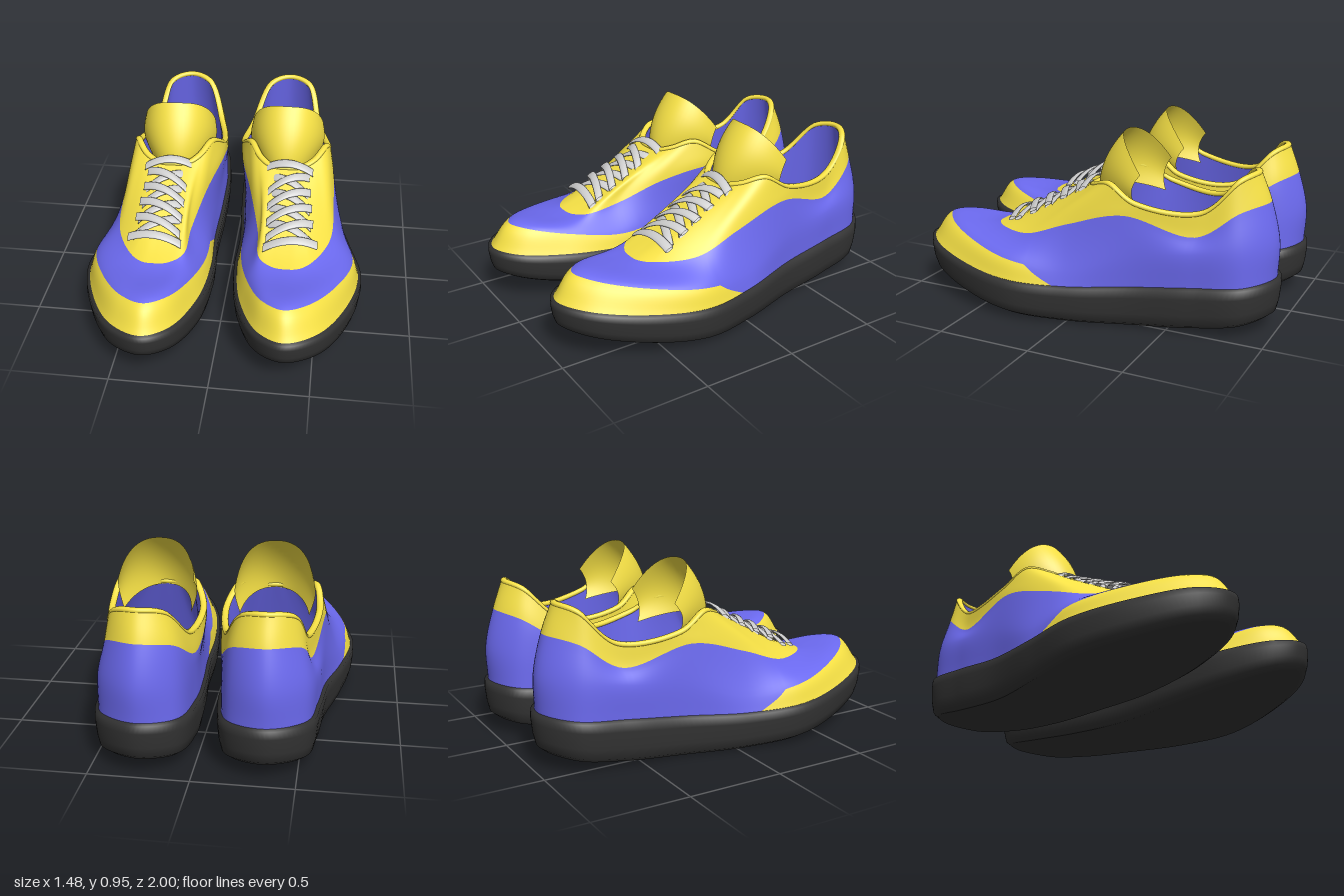
import * as THREE from 'three';
import { mergeVertices } from 'three/addons/utils/BufferGeometryUtils.js';

const paint = (color) => new THREE.MeshStandardMaterial({ color, side: THREE.DoubleSide });
const YELLOW = paint(0xf5e045), BLUE = paint(0x6b69ee), DARK = paint(0x333333), LACE = paint(0xcccccc);
const V = (x, y, z) => new THREE.Vector3(x, y, z);

// Four loops round the shoe, each from the heel along the outer side to the toe and back: 16 points x, y, z
const N = 16;
const loop = (a) => new THREE.CatmullRomCurve3(
  Array.from({ length: N }, (_, i) => V(...a.slice(i * 3, i * 3 + 3))), true);

const soleEdge = loop([
  .26, .28, -.98, .45, .27, -.87, .51, .25, -.62, .555, .22, -.32,
  .65, .20, 0, .715, .21, .3, .65, .24, .61, .515, .275, .865,
  .36, .285, .955, .23, .275, .88, .115, .25, .63, .065, .22, .3,
  .065, .20, 0, .04, .22, -.32, .03, .25, -.62, .08, .27, -.89]);
const midWall = loop([
  .26, .46, -.985, .45, .45, -.86, .51, .42, -.62, .555, .38, -.32,
  .63, .28, 0, .68, .305, .3, .595, .35, .58, .465, .39, .785,
  .35, .405, .855, .245, .39, .785, .15, .34, .58, .085, .29, .3,
  .075, .32, 0, .045, .38, -.3, .03, .42, -.62, .085, .45, -.88]);
const trimEdge = loop([
  .26, .66, -.935, .42, .63, -.83, .475, .50, -.63, .54, .58, -.28,
  .56, .50, .02, .555, .415, .26, .465, .40, .46, .40, .40, .52,
  .34, .40, .53, .27, .40, .52, .195, .41, .46, .17, .44, .27,
  .105, .53, .02, .025, .58, -.28, .03, .50, -.61, .10, .63, -.85]);
const rim = loop([
  .26, .80, -.88, .39, .775, -.82, .455, .615, -.65, .525, .64, -.33,
  .51, .72, -.18, .45, .69, -.07, .38, .67, -.02, .33, .665, -.01,
  .29, .665, -.01, .25, .665, -.01, .20, .67, -.02, .14, .69, -.07,
  .08, .72, -.18, .02, .64, -.33, .05, .61, -.63, .135, .775, -.82]);

const at = (c, u) => c.getPoint((u / N) % 1);

// Point on a loop, pushed outwards in plan by d
function offset(c, u, d) {
  const p = at(c, u), t = c.getTangent((u / N) % 1);
  const l = Math.hypot(t.x, t.z) || 1;
  return V(p.x + (t.z / l) * d, p.y, p.z - (t.x / l) * d);
}

// Upper surface: v = 0 sole edge, 1 mid wall, 2 trim edge, 3 rim
const upper = (u, v) => new THREE.CatmullRomCurve3(
  [soleEdge, midWall, trimEdge, rim].map((c) => at(c, u))).getPoint(v / 3);

// Height of the toe band in v, tapering out on both sides
const band = (u) => Math.max(0, Math.min(1, (u - 4.2) / .5, (11.9 - u) / .5));

// Footbed edge, widening towards the heel
function footbed(u) {
  const p = at(soleEdge, u), s = .82 + .1 * THREE.MathUtils.clamp(-1.5 * p.z, 0, 1);
  return V(.28 + (p.x - .28) * s, p.y + .02, Math.min(.1, -.1 + (p.z + .1) * .94));
}

// Underside height, curved up at the toe and the heel
const under = (z) => .12 * (z + .15) ** 2;

// Sole wall rings: outward offset and share of the wall height
const RINGS = [[-.03, 0], [0, .1], [.012, .35], [.02, .75], [.018, .96], [-.01, 1.02]];
function sole(u, v) {
  const [d, k] = RINGS[Math.round(v)];
  const p = offset(soleEdge, u, d), b = under(p.z);
  p.y = b + (p.y - b) * k;
  return p;
}

// Underside in strips across the foot, so it follows the curve of the sole
function underside(u, v) {
  const p = offset(soleEdge, 16 - u * 8, -.03).lerp(offset(soleEdge, u * 8, -.03), v);
  p.y = under(p.z);
  return p;
}

// Curved tongue flap, wrapped backwards at its sides
function tongue(u, v) {
  const a = 1.4 * (1 - 2 * u), q = (1 - Math.cos(a)) / .83;
  const w = .18 + .03 * Math.sin(v * 2.4);
  return V(.28 + w * Math.sin(a), .65 + .305 * v - q ** 1.25 * (.05 + .13 * v),
    -.03 - .02 * v - .13 * v * v - q * (.29 - .13 * v));
}

// Flat lace arched across the instep from (x0, z0) to (x1, z1)
const lace = (x0, z0, x1, z1, lift) => (u, v) => {
  const x = x0 + (x1 - x0) * u, z = z0 + (z1 - z0) * u, a = -v * Math.PI * 2;
  const w = .025 * Math.cos(a), n = .008 * Math.sin(a);
  const y = .40 + (.53 - z) * .49 + lift - .04 * (2 * u - 1) ** 2;
  return V(x, y - .43 * w + .9 * n, z + .9 * w + .43 * n);
};

function createShoe(side, name) {
  const shoe = new THREE.Group();
  shoe.name = name;

  // Surface from a rule f(u, v), mirrored for the other foot
  function add(part, material, f, [u0, u1, nu], [v0, v1, nv]) {
    const pos = [], idx = [];
    for (let i = 0; i <= nu; i++) for (let j = 0; j <= nv; j++) {
      const p = f(u0 + (u1 - u0) * i / nu, v0 + (v1 - v0) * j / nv);
      pos.push(p.x * side, p.y, p.z);
    }
    for (let i = 0; i < nu; i++) for (let j = 0; j < nv; j++) {
      const a = i * (nv + 1) + j, b = a + 1, c = a + nv + 1, d = c + 1;
      if (side > 0) idx.push(a, b, c, b, d, c);
      else idx.push(a, c, b, b, c, d);
    }
    let g = new THREE.BufferGeometry();
    g.setAttribute('position', new THREE.Float32BufferAttribute(pos, 3));
    g.setIndex(idx);
    g = mergeVertices(g, 1e-5);
    g.computeVertexNormals();
    const mesh = new THREE.Mesh(g, material);
    mesh.name = part;
    shoe.add(mesh);
  }
  const round = [0, N, 160];

  // Sole
  add('soleWall', DARK, sole, round, [0, 5, 5]);
  add('soleUnderside', DARK, underside, [0, 1, 80], [0, 1, 8]);

  // Outer panels
  add('toeBand', YELLOW, (u, t) => upper(u, band(u) * t), [4.2, 11.9, 77], [0, 1, 8]);
  add('sidePanel', BLUE, (u, t) => upper(u, band(u) + (2 - band(u)) * t), round, [0, 1, 14]);
  add('collarAndLacePanel', YELLOW, (u, v) => upper(u, v), round, [2, 3, 10]);

  // Padded rim, lining and footbed
  add('collarRoll', YELLOW, (u, a) => {
    const p = offset(rim, u, -.014 + .018 * Math.cos(a));
    p.y += .014 * Math.sin(a);
    return p;
  }, round, [0, Math.PI * 2, 10]);
  add('lining', BLUE, (u, t) => offset(rim, u, -.026).lerp(footbed(u), 1 - t), round, [0, 1, 6]);
  add('footbed', DARK, (u, t) => footbed(u).lerp(V(.28, .25, -.3), t), round, [0, 1, 3]);

  // Tongue
  add('tongue', YELLOW, tongue, [0, 1, 28], [0, 1, 12]);

  // Laces: straight bars at both ends, crossings between
  const strand = (...args) => add('lace', LACE, lace(...args), [0, 1, 14], [0, 1, 10]);
  strand(.21, .42, .49, .39, .03);
  for (let i = 0; i < 4; i++) {
    const z = .28 - i * .085, l = .22 - i * .004, r = .46 - i * .012;
    strand(l, z, r, z + .09, .015);
    strand(l, z + .09, r, z, .03);
  }
  strand(.19, -.02, .44, .0, .035);
  return shoe;
}

export function createModel() {
  const model = new THREE.Group();
  model.name = 'pairOfShoes';
  const left = createShoe(1, 'leftShoe'), right = createShoe(-1, 'rightShoe');
  left.position.z = -.005;

  // The right shoe stands turned a little outwards at the heel
  right.rotation.y = .06;
  right.position.set(-.03, 0, .005);
  model.add(left, right);
  return model;
}
